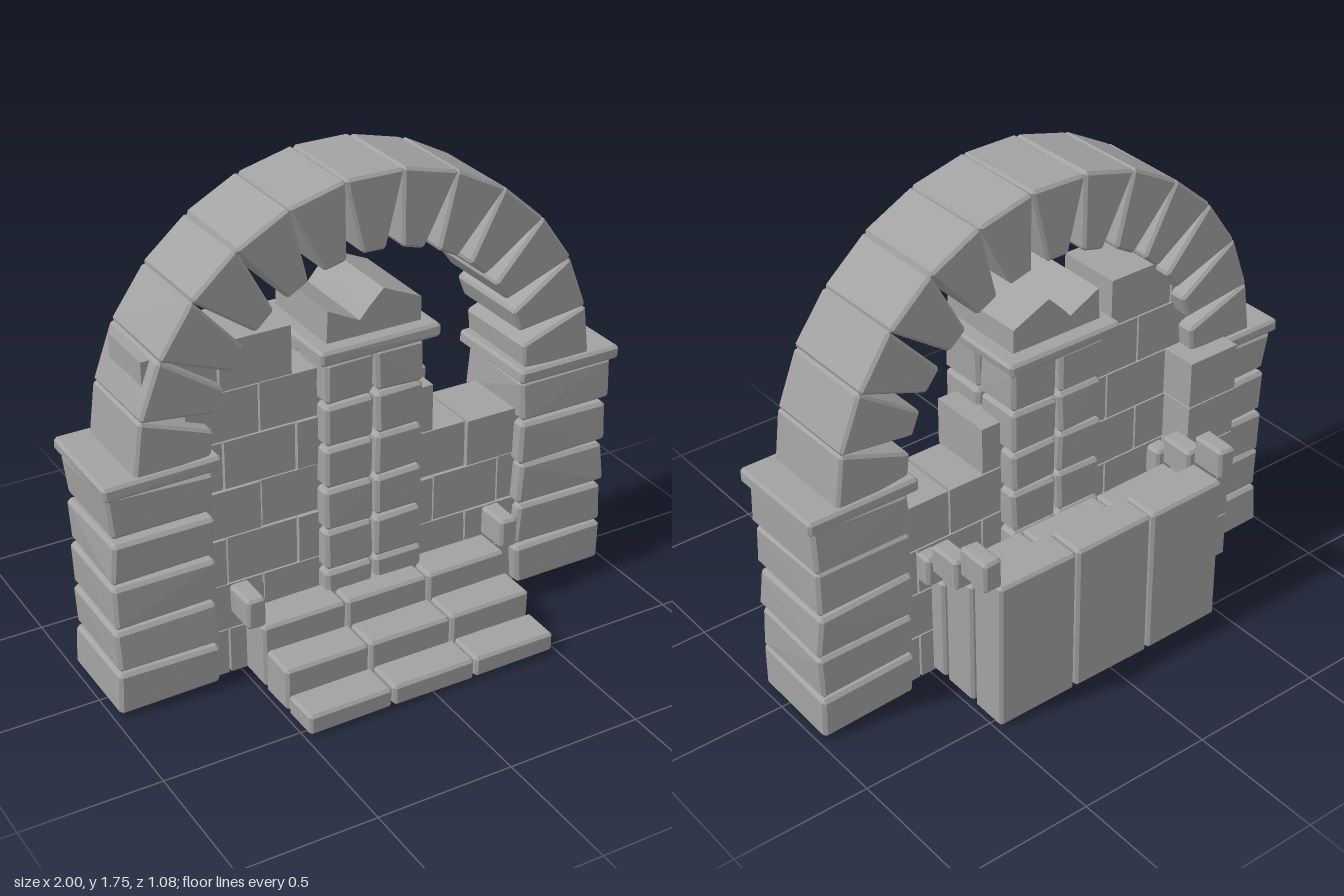
import * as THREE from 'three';
import { ConvexGeometry } from 'three/addons/geometries/ConvexGeometry.js';

const stone = new THREE.MeshStandardMaterial({ color: 0xa2a2a2 });
stone.name = 'grey stone';

// Small seeded generator for the slightly uneven stones
let seed = 7;
const rand = () => {
  seed = (seed * 16807) % 2147483647;
  return seed / 2147483647 - 0.5;
};

// Chamfered stone; taper widens the top and narrows the bottom, jitter shifts corners
function stoneGeometry(w, h, d, bevel = 0.012, jitter = 0, taper = 0) {
  const points = [];
  for (const sx of [-1, 1]) for (const sy of [-1, 1]) for (const sz of [-1, 1]) {
    const half = [w / 2 + sy * taper, h / 2, d / 2];
    const sign = [sx, sy, sz];
    const shift = sign.map(() => rand() * jitter);
    for (let axis = 0; axis < 3; axis++) {
      points.push(new THREE.Vector3(...sign.map((s, i) =>
        s * (half[i] - (i === axis ? 0 : bevel)) + shift[i])));
    }
  }
  return new ConvexGeometry(points);
}

function addMesh(parent, name, geometry) {
  const mesh = new THREE.Mesh(geometry, stone);
  mesh.name = name;
  parent.add(mesh);
  return mesh;
}

// Stone given by its limits on each axis
function addStone(parent, name, [x0, x1], [y0, y1], [z0, z1], bevel, jitter) {
  const mesh = addMesh(parent, name, stoneGeometry(x1 - x0, y1 - y0, z1 - z0, bevel, jitter));
  mesh.position.set((x0 + x1) / 2, (y0 + y1) / 2, (z0 + z1) / 2);
  return mesh;
}

// Sharp-edged wall brick
function addBrick(parent, [x0, x1], [y0, y1], [z0, z1]) {
  const mesh = addMesh(parent, 'wallBrick', new THREE.BoxGeometry(x1 - x0, y1 - y0, z1 - z0));
  mesh.position.set((x0 + x1) / 2, (y0 + y1) / 2, (z0 + z1) / 2);
}

function addGroup(parent, name) {
  const group = new THREE.Group();
  group.name = name;
  parent.add(group);
  return group;
}

export function createModel() {
  const model = new THREE.Group();
  model.name = 'ruinedStoneArch';

  // Side pillars with cap slabs
  for (const side of [-1, 1]) {
    const pillar = addGroup(model, side > 0 ? 'leftPillar' : 'rightPillar');
    const span = (a, b) => (side > 0 ? [a, b] : [-b, -a]);
    for (let i = 0; i < 5; i++) {
      const y = 0.008 + i * 0.17;
      addStone(pillar, 'pillarStone', span(0.605, 0.975), [y, y + 0.16], [-0.23, 0.132], 0.012, 0.014);
    }
    addStone(pillar, 'pillarCap', span(0.58, 0.998), [0.85, 0.9], [-0.25, 0.152], 0.01, 0.006);
  }

  // Round arch of thirteen tapered stones
  const arch = addGroup(model, 'arch');
  const step = Math.PI / 13;
  const radius = 0.74;
  for (let i = -6; i <= 6; i++) {
    const voussoir = addMesh(arch, 'archStone', stoneGeometry(0.152, 0.27, 0.36, 0.01, 0.004, 0.03));
    voussoir.position.set(Math.sin(i * step) * radius, 0.875 + Math.cos(i * step) * radius, -0.048);
    voussoir.rotation.z = -i * step;
  }

  // Broken wall in running bond: first and last joint of each course
  const wall = addGroup(model, 'brokenWall');
  const courses = [[-0.81, 0.81], [-0.675, 0.675], [-0.81, 0.81], [-0.675, 0.675],
    [-0.81, 0.27], [-0.675, 0.135], [-0.82, -0.28]];
  courses.forEach(([start, end], row) => {
    for (let x = start; x < end - 0.01; x += 0.27) {
      const y = row * 0.182;
      addBrick(wall, [x + 0.003, x + 0.265], [y + 0.002, y + 0.178], [-0.165, 0.08 + rand() * 0.01]);
    }
  });

  // Buttress behind the right pillar
  const buttress = addGroup(model, 'rearButtress');
  for (let row = 0; row < 5; row++) {
    addBrick(buttress, [-0.755, -0.545 + rand() * 0.01],
      [row * 0.182 + 0.002, row * 0.182 + 0.179], [-0.296, -0.1]);
  }

  // Central column, two by two stones per course
  const column = addGroup(model, 'centralColumn');
  for (let row = 0; row < 7; row++) {
    const y = 0.008 + row * 0.161;
    for (const x of [-0.19, 0.006]) for (const z of [-0.236, -0.044]) {
      addStone(column, 'columnStone', [x, x + 0.182], [y, y + 0.153], [z, z + 0.184], 0.012, 0.006);
    }
  }
  addStone(column, 'columnCap', [-0.23, 0.23], [1.14, 1.19], [-0.277, 0.18], 0.01, 0.006);

  // Jagged broken stone on the column
  const jagged = new THREE.Shape([[-0.18, 1.195], [0.18, 1.195], [0.18, 1.28], [0.035, 1.345],
    [-0.02, 1.29], [-0.055, 1.25], [-0.175, 1.31]].map(([x, y]) => new THREE.Vector2(x, y)));
  const top = addMesh(column, 'brokenTop',
    new THREE.ExtrudeGeometry(jagged, { depth: 0.35, bevelEnabled: false }));
  top.position.z = -0.223;

  // Solid stairs rising to the back, three stones per step
  const stairs = addGroup(model, 'stairs');
  for (let i = 0; i < 7; i++) {
    const height = 0.083 + i * 0.0828;
    const z1 = 0.538 - i * 0.1555;
    for (let k = -1; k <= 1; k++) {
      addStone(stairs, 'stairStone', [k * 0.325 - 0.159, k * 0.325 + 0.159],
        [0.004, height], [z1 - 0.145, z1], 0.01, 0.004);
    }
    // Low curb blocks beside the upper steps
    if (i < 2) continue;
    for (const side of [-1, 1]) {
      addStone(stairs, 'curbBlock', side > 0 ? [0.47, 0.54] : [-0.54, -0.47],
        [height + 0.004, height + 0.118], [z1 - 0.14, z1 - 0.004], 0.01, 0.004);
    }
  }

  return model;
}
